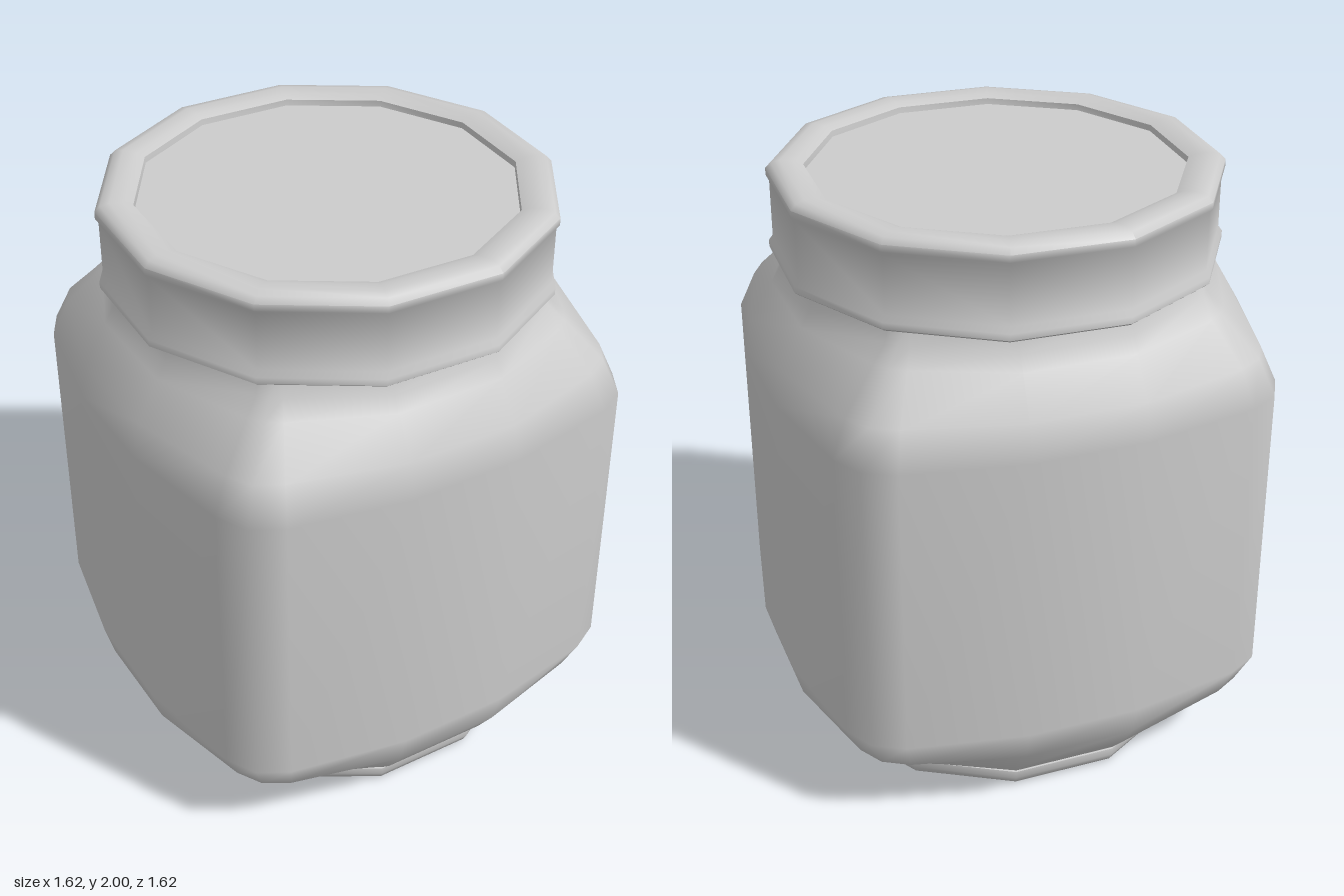
import * as THREE from 'three';
import { toCreasedNormals } from 'three/addons/utils/BufferGeometryUtils.js';

const material = new THREE.MeshStandardMaterial({ color: 0xcccccc });
const rad = THREE.MathUtils.degToRad;

// Twelve-sided turned part; profile is [radius, height] from bottom to top
function turned(name, profile, turn) {
  const points = profile.map(([r, y]) => new THREE.Vector2(r, y));
  const lathe = new THREE.LatheGeometry(points, 12, rad(turn));
  lathe.deleteAttribute('uv');
  const mesh = new THREE.Mesh(toCreasedNormals(lathe, rad(50)), material);
  mesh.name = name;
  return mesh;
}

// One quarter of the rounded-square section, and the matching round section
const square = [[0.81, 0.19], [0.735, 0.58], [0.68, 0.68], [0.58, 0.735], [0.19, 0.81]];
const roundAngles = [15, 42, 45, 48, 75];

// Loft from round foot through rounded square to round neck
function createBody() {
  // [height, half width, squareness]
  const rings = [
    [0.06, 0.64, 0], [0.075, 0.66, 0.03], [0.13, 0.71, 0.25], [0.23, 0.78, 0.8], [0.34, 0.81, 1],
    [1.35, 0.81, 1], [1.47, 0.785, 0.75], [1.6, 0.71, 0.3], [1.65, 0.68, 0.06], [1.72, 0.665, 0],
  ];
  const positions = [];
  const index = [];
  const n = 20;
  for (const [y, width, squareness] of rings) {
    for (let i = 0; i < n; i++) {
      const k = i % 5;
      const a = rad(roundAngles[k]);
      const c = Math.cos(rad(15));
      const x = width * THREE.MathUtils.lerp(Math.cos(a) / c, square[k][0] / 0.81, squareness);
      const z = width * THREE.MathUtils.lerp(Math.sin(a) / c, square[k][1] / 0.81, squareness);
      const q = Math.floor(i / 5) * Math.PI / 2;
      positions.push(x * Math.cos(q) - z * Math.sin(q), y, x * Math.sin(q) + z * Math.cos(q));
    }
  }
  for (let r = 0; r < rings.length - 1; r++) {
    for (let i = 0; i < n; i++) {
      const a = r * n + i;
      const b = r * n + (i + 1) % n;
      index.push(a, a + n, b, b, a + n, b + n);
    }
  }
  const geometry = new THREE.BufferGeometry();
  geometry.setAttribute('position', new THREE.Float32BufferAttribute(positions, 3));
  geometry.setIndex(index);
  geometry.computeVertexNormals();
  const mesh = new THREE.Mesh(geometry, material);
  mesh.name = 'body';
  return mesh;
}

export function createModel() {
  const group = new THREE.Group();
  group.name = 'jar';
  group.add(createBody());

  // Foot ring with a shallow recessed underside
  group.add(turned('foot', [
    [0, 0.025], [0.605, 0.025], [0.61, 0.008], [0.635, 0], [0.665, 0.012],
    [0.68, 0.04], [0.68, 0.065], [0.64, 0.07],
  ], 15));

  // Lid with a bottom lip, a rolled top rim and a sunken centre
  group.add(turned('lid', [
    [0.62, 1.7], [0.725, 1.7], [0.735, 1.708], [0.735, 1.73], [0.722, 1.748],
    [0.722, 1.94], [0.732, 1.952], [0.732, 1.975], [0.715, 1.993], [0.685, 2],
    [0.64, 1.996], [0.612, 1.985], [0.61, 1.965], [0, 1.965],
  ], 12.5));

  return group;
}
